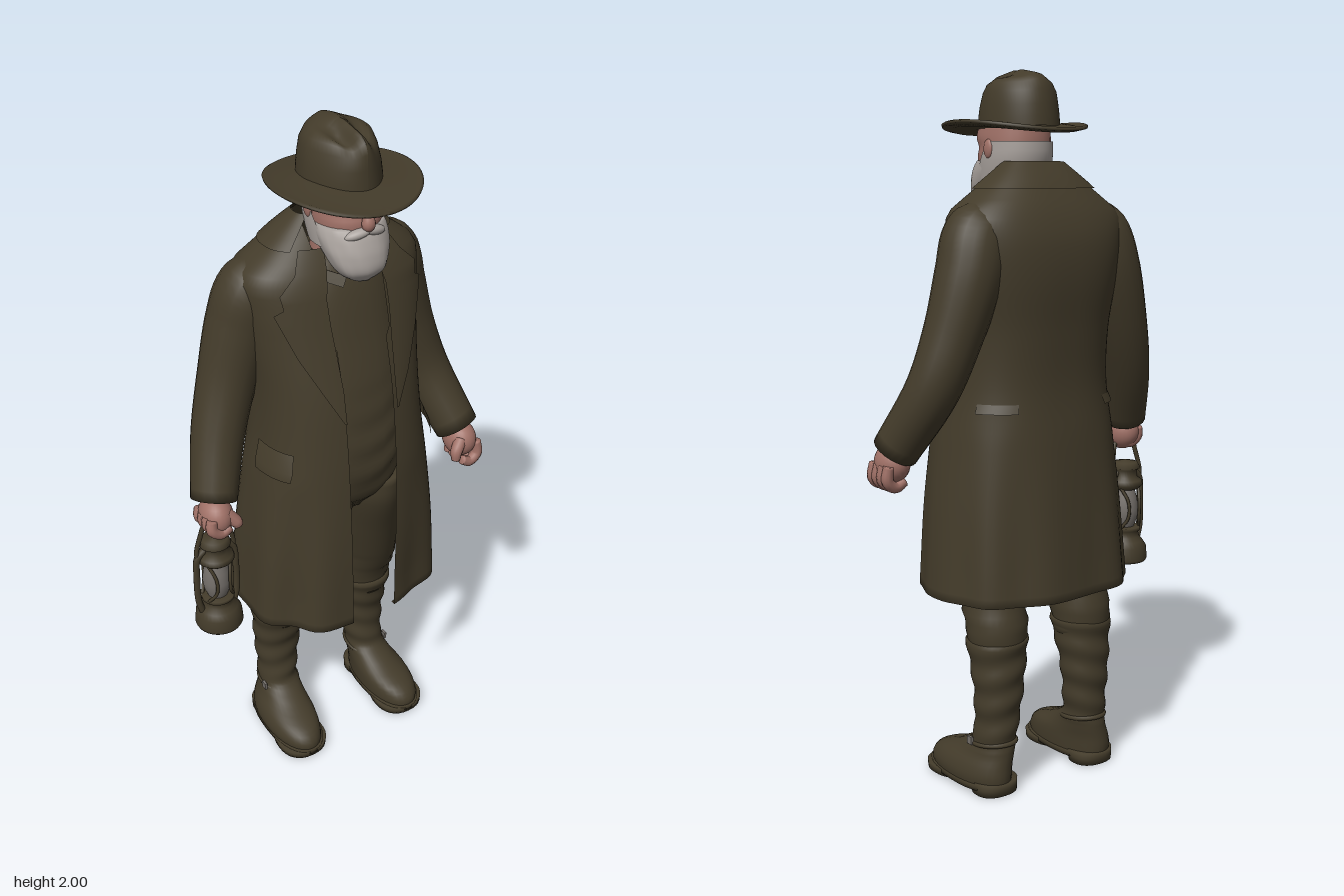
import * as THREE from 'three';

const mat = (name, color) => { const m = new THREE.MeshStandardMaterial({ color, side: THREE.DoubleSide }); m.name = name; return m; };
const cloth = mat('olive cloth', 0x433b2a);
const skin = mat('skin', 0xa07167);
const hair = mat('grey hair', 0xaaa39e);
const glass = mat('lantern glass', 0x75706b);

const V = (x, y, z) => new THREE.Vector3(x, y, z);
const add = (parent, name, geo, material, pos = [0, 0, 0], scale = [1, 1, 1], rot = [0, 0, 0]) => {
  const m = new THREE.Mesh(geo, material);
  m.name = name;
  m.position.set(...pos); m.scale.set(...scale); m.rotation.set(...rot);
  parent.add(m);
  return m;
};
const ball = (parent, name, material, pos, scale, rot) => add(parent, name, new THREE.SphereGeometry(1, 24, 16), material, pos, scale, rot);

// Surface through rows of points
function loft(rows, closed) {
  const n = rows[0].length, idx = [];
  for (let j = 0; j < rows.length - 1; j++) {
    for (let i = 0; i < (closed ? n : n - 1); i++) {
      const k = (i + 1) % n, a = j * n + i, b = j * n + k, c = b + n, d = a + n;
      idx.push(a, b, c, a, c, d);
    }
  }
  const g = new THREE.BufferGeometry().setFromPoints(rows.flat());
  g.setIndex(idx);
  g.computeVertexNormals();
  return g;
}
// Ring closed to its centre
const capRow = (row) => {
  const c = row.reduce((s, p) => s.add(p), V(0, 0, 0)).divideScalar(row.length);
  return row.map(() => c.clone());
};
// Smooth lookup in a table sorted by its first column
function at(t, y) {
  let i = 0;
  while (i < t.length - 2 && y > t[i + 1][0]) i++;
  const p1 = t[i], p2 = t[i + 1], p0 = t[i - 1] || p1, p3 = t[i + 2] || p2;
  const h = p2[0] - p1[0], u = THREE.MathUtils.clamp((y - p1[0]) / h, 0, 1), u2 = u * u, u3 = u2 * u;
  return p1.map((v, k) => {
    const m1 = (p2[k] - p0[k]) / (p2[0] - p0[0]) * h, m2 = (p3[k] - v) / (p3[0] - p1[0]) * h;
    return v * (2 * u3 - 3 * u2 + 1) + m1 * (u3 - 2 * u2 + u) + p2[k] * (3 * u2 - 2 * u3) + m2 * (u3 - u2);
  });
}
// Point on a body of columns y, half width, front z, back z, centre x; angle 0 is the front
const pw = (v, p) => Math.sign(v) * Math.abs(v) ** p;
function onBody(t, y, a, off = 0, p = 0.85) {
  const [, hx, zf, zb, cx = 0] = at(t, y);
  return V(cx + (hx + off) * pw(Math.sin(a), p), y, (zf + zb) / 2 + ((zf - zb) / 2 + off) * pw(Math.cos(a), p));
}
const noCrease = () => 0;
function body(t, steps = 24, p = 0.85, crease = noCrease) {
  const rows = [], y0 = t[0][0], y1 = t[t.length - 1][0];
  for (let j = 0; j <= steps; j++) {
    const y = y0 + (y1 - y0) * j / steps;
    rows.push(Array.from({ length: 32 }, (_, i) => {
      const a = i / 32 * Math.PI * 2;
      return onBody(t, y, a, crease(y, a), p);
    }));
  }
  return loft([capRow(rows[0]), ...rows, capRow(rows[steps])], true);
}
// Round limb through points x, y, z, radius
function limb(pts, n = 20) {
  const curve = new THREE.CatmullRomCurve3(pts.map((p) => V(p[0], p[1], p[2])));
  const radii = pts.map((p, i) => [i / (pts.length - 1), p[3]]), rows = [], steps = pts.length * 5;
  for (let j = 0; j <= steps; j++) {
    const t = j / steps, c = curve.getPoint(t), r = at(radii, t)[1], T = curve.getTangent(t);
    const U = V(0, 0, 1).cross(T).normalize(), W = T.clone().cross(U);
    rows.push(Array.from({ length: n }, (_, i) => {
      const a = i / n * Math.PI * 2;
      return c.clone().addScaledVector(U, r * Math.cos(a)).addScaledVector(W, r * Math.sin(a));
    }));
  }
  return loft([capRow(rows[0]), ...rows, capRow(rows[steps])], true);
}

const COAT = [[0.565, 0.305, 0.242, -0.243], [0.8, 0.287, 0.232, -0.222], [1.0, 0.262, 0.217, -0.205], [1.15, 0.24, 0.203, -0.192],
  [1.3, 0.235, 0.18, -0.2], [1.45, 0.25, 0.14, -0.215], [1.55, 0.262, 0.112, -0.21], [1.62, 0.258, 0.088, -0.187],
  [1.67, 0.195, 0.062, -0.158], [1.72, 0.13, 0.025, -0.122], [1.755, 0.088, 0.0, -0.092]];
const P = 0.8;
const angleAt = (x, y) => Math.asin(Math.min(1, x / at(COAT, y)[1]) ** (1 / P));
// Thin cloth panel on the coat: rows of y, start angle, end angle, offset
const panel = (list, n = 10) => loft(list.map(([y, a, b, off]) => Array.from({ length: n + 1 }, (_, i) => onBody(COAT, y, a + (b - a) * i / n, off, P))));

function buildCoat(g) {
  const rows = [];
  for (let j = 0; j <= 48; j++) {
    const y = 0.565 + 1.19 * j / 48, a0 = angleAt(y > 1.45 ? 0.09 : 0.075, y);
    const skirt = THREE.MathUtils.clamp((1.05 - y) / 0.4, 0, 1);
    rows.push(Array.from({ length: 73 }, (_, i) => {
      const a = a0 + (2 * Math.PI - 2 * a0) * i / 72;
      // Soft folds, with the left front hanging closer to the body
      const drape = 0.006 * Math.sin(a * 9) - 0.02 * Math.exp(-((a - 0.3) ** 2) / 0.3) - 0.016 * Math.exp(-((a - 5.4) ** 2) / 0.08);
      return onBody(COAT, y, a, skirt * drape, P);
    }));
  }
  // Hem turned inward for thickness
  const hem = rows[0].map((p) => V(p.x * 0.96, p.y + 0.004, p.z * 0.95));
  add(g, 'coat', loft([hem, ...rows]), cloth);
  // Back of the collar
  add(g, 'collar', panel([[1.685, 0.008], [1.705, 0.009], [1.73, 0.008], [1.757, 0.004]].map(([y, off]) => [y, 0.85, 2 * Math.PI - 0.85, off]), 40), cloth);
  const LAPEL = [[1.24, 0.075, 0.08], [1.33, 0.075, 0.125], [1.43, 0.08, 0.172], [1.51, 0.085, 0.2], [1.545, 0.085, 0.212], [1.56, 0.085, 0.19], [1.575, 0.085, 0.192], [1.595, 0.08, 0.195], [1.64, 0.07, 0.15], [1.69, 0.06, 0.12]];
  for (const s of [1, -1]) {
    const side = new THREE.Group();
    side.name = s > 0 ? 'leftCoatFront' : 'rightCoatFront';
    side.scale.x = s;
    add(side, 'lapel', panel(LAPEL.map(([y, x0, x1]) => [y, angleAt(x0, y), angleAt(x1, y), 0.013])), cloth);
    add(side, 'pocketFlap', panel([[1.075, 0.95, 1.5, 0.02], [1.1, 0.93, 1.52, 0.02], [1.15, 0.95, 1.55, 0.006]]), cloth);
    add(side, 'backWaistSeam', panel([[1.09, 2.0, 2.6, 0.008], [1.115, 2.0, 2.6, 0.001]]), cloth);
    g.add(side);
  }
}

// Wrinkles of the boot shaft
const bootCrease = (y, a) => (y > 0.13 ? 0.003 * Math.sin(y * 75 + 1.5 * Math.sin(a)) : 0);

function buildLeg(g, s) {
  const leg = new THREE.Group();
  leg.name = s > 0 ? 'leftLeg' : 'rightLeg';
  leg.scale.x = s;
  leg.position.x = s > 0 ? 0 : 0.013;
  g.add(leg);
  add(leg, 'trouserLeg', body([[0.4, 0.078, -0.01, -0.165, 0.157], [0.48, 0.088, 0.005, -0.172, 0.157], [0.57, 0.088, 0.045, -0.15, 0.15],
    [0.75, 0.094, 0.11, -0.135, 0.118], [0.9, 0.094, 0.165, -0.13, 0.09], [0.98, 0.09, 0.17, -0.12, 0.085]], 24, 1,
  (y, a) => (y < 0.58 ? 0.003 * Math.sin(y * 110 + a) : 0)), cloth);
  add(leg, 'boot', body([[0.02, 0.076, 0.162, -0.158, 0.187], [0.05, 0.079, 0.16, -0.16, 0.188], [0.08, 0.075, 0.13, -0.158, 0.184],
    [0.11, 0.065, 0.05, -0.156, 0.176], [0.15, 0.059, -0.018, -0.155, 0.17], [0.2, 0.061, -0.03, -0.158, 0.167],
    [0.3, 0.07, -0.03, -0.167, 0.163], [0.4, 0.081, -0.008, -0.17, 0.159], [0.44, 0.087, 0.002, -0.172, 0.157], [0.45, 0.084, -0.002, -0.168, 0.157]], 44, 0.95, bootCrease), cloth);
  // Sole, forefoot and heel
  add(leg, 'sole', body([[0.014, 0.077, 0.166, -0.16, 0.187], [0.032, 0.079, 0.167, -0.161, 0.187]], 2), cloth);
  add(leg, 'forefootSole', body([[0.004, 0.076, 0.164, 0.0, 0.188], [0.026, 0.079, 0.166, -0.01, 0.188]], 2), cloth);
  add(leg, 'heel', body([[0, 0.064, -0.05, -0.16, 0.183], [0.036, 0.066, -0.04, -0.162, 0.183]], 2), cloth);
  // Ankle strap and buckle
  add(leg, 'ankleStrap', new THREE.TorusGeometry(0.058, 0.007, 8, 32), cloth, [0.17, 0.14, -0.085], [1, 1.2, 1], [Math.PI / 2 + 0.12, 0, 0]);
  add(leg, 'buckle', new THREE.BoxGeometry(0.008, 0.022, 0.02), glass, [0.233, 0.145, -0.058]);
}

function buildArm(g, s) {
  const arm = new THREE.Group();
  arm.name = s > 0 ? 'leftArm' : 'rightArm';
  arm.scale.x = s;
  g.add(arm);
  const z = s > 0 ? 0.05 : 0.012, y = s > 0 ? 0.985 : 1.0, x = s > 0 ? 0.398 : 0.39;
  add(arm, 'sleeve', limb([[0.16, 1.61, -0.06, 0.058], [0.205, 1.565, -0.068, 0.09], [0.236, 1.47, -0.08, 0.094], [0.288, 1.31, -0.075, 0.082],
    [0.34, 1.16, s > 0 ? -0.05 : -0.045, 0.074], [x, y, z, 0.065]]), cloth);
  const hand = new THREE.Group();
  hand.name = 'hand';
  hand.position.set(x - 0.003, s > 0 ? 0.955 : 0.96, z + 0.012);
  arm.add(hand);
  ball(hand, 'palm', skin, [0.006, -0.004, 0], [0.047, 0.055, 0.058]);
  // Curled fingers
  const drop = s > 0 ? 0 : 0.03;
  for (let i = 0; i < 4; i++) {
    const fz = 0.04 - i * 0.025;
    add(hand, 'finger', limb([[0.038, -0.005 + drop * 0.5, fz, 0.015], [0.04, -0.048 + drop, fz + 0.004, 0.017], [0.014, -0.067 + drop, fz + 0.006, 0.016], [-0.014, -0.054 + drop, fz + 0.006, 0.014]], 10), skin);
  }
  add(hand, 'thumb', limb([[-0.01, 0.01, 0.03, 0.02], [-0.034, -0.018, 0.044, 0.018], [-0.038, -0.045 + drop * 0.5, 0.048, 0.013]], 10), skin);
}

function buildHead(g) {
  const head = new THREE.Group();
  head.name = 'head';
  head.position.x = 0.01;
  g.add(head);
  add(head, 'neck', new THREE.CylinderGeometry(0.062, 0.07, 0.16, 24), skin, [-0.005, 1.665, 0]);
  // Face with a brow ridge and sunken eyes
  add(head, 'face', body([[1.66, 0.06, 0.11, -0.05], [1.73, 0.087, 0.134, -0.07], [1.77, 0.093, 0.138, -0.076], [1.797, 0.094, 0.13, -0.078],
    [1.82, 0.095, 0.142, -0.078], [1.85, 0.092, 0.134, -0.075]], 24, 0.95), skin);
  add(head, 'nose', limb([[0, 1.815, 0.132, 0.01], [0, 1.795, 0.143, 0.013], [0, 1.772, 0.148, 0.018], [0, 1.757, 0.138, 0.012]], 14), skin);
  const HAIR = [[1.613, 0.02, 0.14, 0.1], [1.624, 0.046, 0.153, 0.075], [1.65, 0.07, 0.172, 0.045], [1.69, 0.087, 0.17, 0.005],
    [1.725, 0.094, 0.158, -0.03], [1.748, 0.094, 0.146, -0.045], [1.76, 0.092, 0.135, -0.045]];
  add(head, 'beard', body(HAIR, 24, 0.95, (y, a) => 0.0015 * Math.sin(a * 8 + y * 40)), hair);
  // Hair and sideburns around the back of the head
  const BACK = [[1.7, 0.092, 0.14, -0.06], [1.76, 0.099, 0.14, -0.084], [1.85, 0.097, 0.135, -0.084]];
  add(head, 'hair', loft([1.7, 1.73, 1.76, 1.785, 1.81].map((y, j) => Array.from({ length: 33 }, (_, i) => {
    const a0 = 1.05 + j * 0.14;
    return onBody(BACK, y, a0 + (2 * Math.PI - 2 * a0) * i / 32, 0, 0.97);
  }))), hair);
  for (const s of [1, -1]) {
    ball(head, 'ear', skin, [s * 0.096, 1.79, 0.018], [0.009, 0.026, 0.018]);
    ball(head, 'moustache', hair, [s * 0.026, 1.747, 0.138], [0.036, 0.013, 0.016], [0, s * 0.3, -s * 0.25]);
    ball(head, 'eyeSocket', cloth, [s * 0.036, 1.8, 0.119], [0.014, 0.003, 0.006], [0, s * 0.35, 0]);
  }
}

function buildHat(g) {
  const hat = new THREE.Group();
  hat.name = 'hat';
  hat.position.set(0.006, 0, 0.033);
  g.add(hat);
  // Oval brim, drooping to the front and back
  const brim = new THREE.LatheGeometry([[0, 1.843], [0.1, 1.845], [0.17, 1.848], [0.194, 1.857], [0.196, 1.863], [0.19, 1.866], [0.165, 1.859], [0.11, 1.864], [0, 1.87]].map((p) => new THREE.Vector2(...p)), 64);
  const b = brim.attributes.position;
  for (let i = 0; i < b.count; i++) b.setXYZ(i, b.getX(i), b.getY(i) - 0.6 * b.getZ(i) ** 2, b.getZ(i) * 1.085);
  brim.computeVertexNormals();
  add(hat, 'brim', brim, cloth);
  // Crown: teardrop from above, with a ridge and a pinch on each side of the front
  const profile = [[0.104, 1.85], [0.103, 1.875], [0.1, 1.905], [0.095, 1.94], [0.085, 1.963], [0.07, 1.976], [0.055, 1.983], [0.04, 1.989], [0.028, 1.994], [0.014, 1.999], [0, 2.0]];
  const crown = new THREE.LatheGeometry(profile.map((p) => new THREE.Vector2(...p)), 64);
  const c = crown.attributes.position;
  for (let i = 0; i < c.count; i++) {
    const x = c.getX(i), y = c.getY(i), z = c.getZ(i), up = THREE.MathUtils.smoothstep(y, 1.88, 1.98);
    const pinch = up * Math.exp(-((Math.abs(x) - 0.036) ** 2) / 0.0005 - ((z - 0.04) ** 2) / 0.0024);
    const front = THREE.MathUtils.clamp(z / 0.1, 0, 1);
    const ridge = up * 0.012 * THREE.MathUtils.clamp(Math.abs(z) / 0.07, 0, 1) * Math.exp(-(x ** 2) / 0.0012);
    c.setXYZ(i, x * (1 - (0.12 + 0.3 * up) * front), y - 0.026 * pinch + ridge, z * 1.27 + 0.012 * up * front);
  }
  crown.computeVertexNormals();
  add(hat, 'crown', crown, cloth, [0.006, 0, -0.023]);
}

function buildLantern(g) {
  const lamp = new THREE.Group();
  lamp.name = 'lantern';
  lamp.position.set(-0.393, 0.555, 0.005);
  g.add(lamp);
  const lathe = (name, pts, m) => add(lamp, name, new THREE.LatheGeometry(pts.map((p) => new THREE.Vector2(...p)), 32), m);
  lathe('oilTank', [[0, 0], [0.066, 0], [0.07, 0.008], [0.067, 0.045], [0.056, 0.062], [0.045, 0.075], [0.042, 0.09], [0.048, 0.096], [0.048, 0.106], [0, 0.108]], cloth);
  lathe('globe', [[0.028, 0.105], [0.038, 0.13], [0.042, 0.16], [0.037, 0.195], [0.028, 0.228]], glass);
  lathe('chimneyCap', [[0, 0.225], [0.04, 0.225], [0.054, 0.238], [0.05, 0.252], [0.036, 0.262], [0.036, 0.285], [0.046, 0.29], [0.036, 0.307], [0, 0.314]], cloth);
  const tube = (name, pts, r) => add(lamp, name, new THREE.TubeGeometry(new THREE.CatmullRomCurve3(pts.map((p) => V(...p))), 24, r, 8), cloth);
  for (const s of [1, -1]) {
    tube('sideTube', [[s * 0.048, 0.05, 0], [s * 0.061, 0.1, 0], [s * 0.062, 0.19, 0], [s * 0.056, 0.255, 0], [s * 0.032, 0.277, 0]], 0.01);
    for (const z of [1, -1]) tube('guardWire', [[s * 0.04, 0.1, z * 0.02], [s * 0.022, 0.14, z * 0.042], [s * 0.022, 0.19, z * 0.042], [s * 0.036, 0.235, z * 0.02]], 0.005);
  }
  tube('handle', [[-0.056, 0.24, 0], [-0.058, 0.275, 0], [-0.045, 0.33, 0.004], [-0.032, 0.37, 0.01], [0, 0.382, 0.012], [0.032, 0.37, 0.01], [0.045, 0.33, 0.004], [0.058, 0.275, 0], [0.056, 0.24, 0]], 0.007);
}

export function createModel() {
  const g = new THREE.Group();
  g.name = 'lanternBearer';
  buildCoat(g);
  // Waistcoat blending into the trousers, and shirt collar
  add(g, 'waistcoat', body([[0.88, 0.13, 0.11, -0.1], [0.95, 0.155, 0.162, -0.12], [1.02, 0.17, 0.184, -0.14], [1.12, 0.185, 0.189, -0.15], [1.3, 0.185, 0.168, -0.16],
    [1.45, 0.185, 0.13, -0.17], [1.56, 0.16, 0.1, -0.15], [1.62, 0.115, 0.075, -0.11], [1.66, 0.08, 0.05, -0.08]], 40, 0.85,
  (y, a) => 0.003 * Math.sin(y * 65 + 3 * Math.cos(a * 3)) * THREE.MathUtils.clamp((1.35 - y) / 0.2, 0, 1)), cloth);
  for (const s of [1, -1]) {
    add(g, 'shirtCollar', new THREE.BoxGeometry(0.055, 0.03, 0.01), cloth, [s * 0.05, 1.612, 0.088], [1, 1, 1], [-0.5, s * 0.5, s * 0.55]);
    buildLeg(g, s);
    buildArm(g, s);
  }
  buildHead(g);
  buildHat(g);
  buildLantern(g);
  return g;
}
